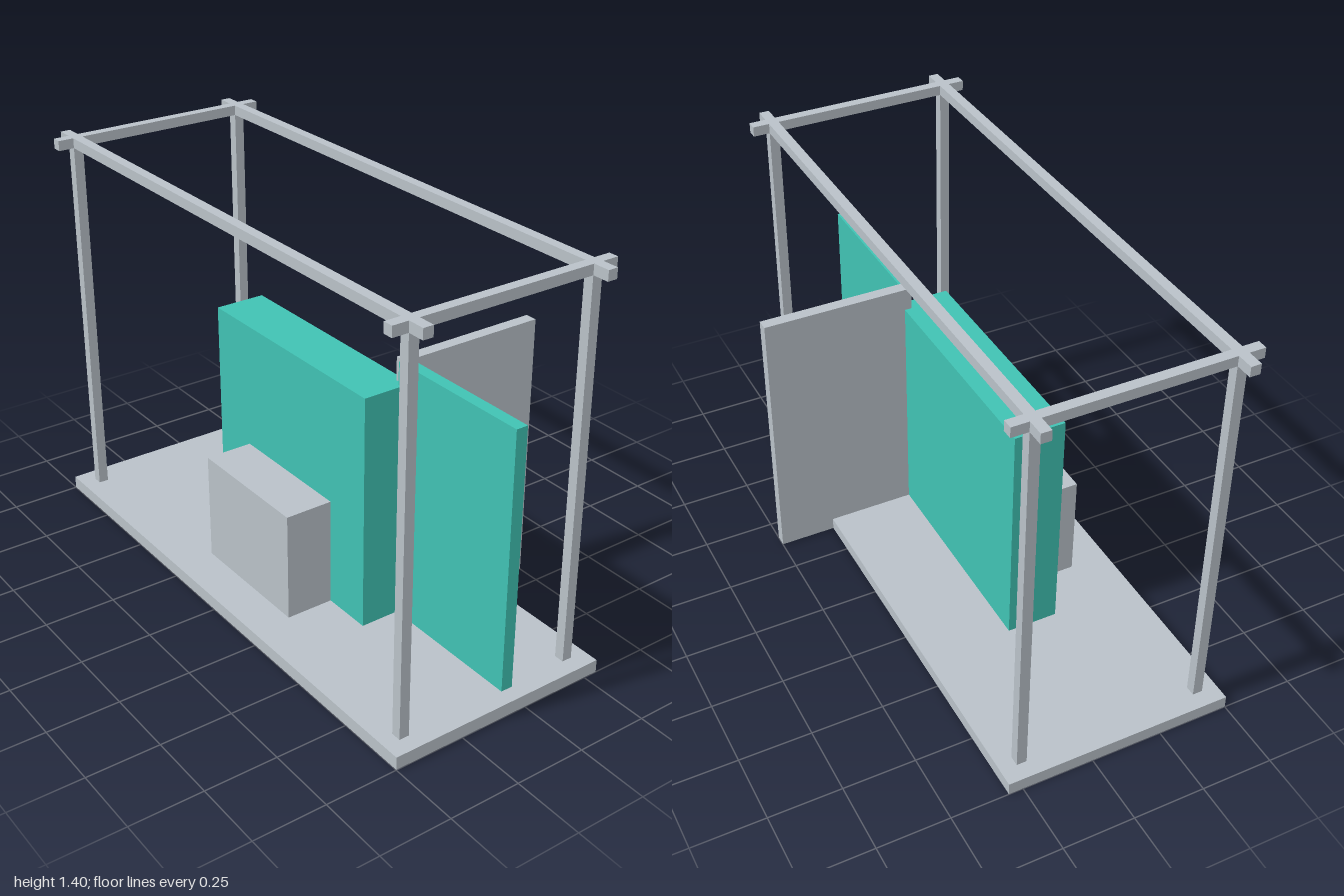
import * as THREE from 'three';

export function createModel() {
  const model = new THREE.Group();
  model.name = 'exhibitionStand';

  const grey = new THREE.MeshStandardMaterial({ color: 0xb9c1c8 });
  grey.name = 'light grey';
  const teal = new THREE.MeshStandardMaterial({ color: 0x40c2b3 });
  teal.name = 'teal';

  // Box given by its lower and upper limits on each axis
  function block(name, material, [x0, x1], [y0, y1], [z0, z1]) {
    const mesh = new THREE.Mesh(new THREE.BoxGeometry(x1 - x0, y1 - y0, z1 - z0), material);
    mesh.position.set((x0 + x1) / 2, (y0 + y1) / 2, (z0 + z1) / 2);
    mesh.name = name;
    model.add(mesh);
  }

  // Floor; the big wall passes through it to the underside
  block('floor', grey, [-1, 1], [0.001, 0.046], [-0.3, 0.5]);
  block('backWall', teal, [-0.42, 0.42], [0, 0.88], [0.01, 0.19]);
  block('counter', grey, [-0.24, 0.24], [0.02, 0.43], [0.18, 0.36]);

  // Side panel and the partition running back from it
  block('sidePanel', teal, [0.405, 0.945], [0.002, 0.96], [0.008, 0.05]);
  block('partition', grey, [0.375, 0.417], [0.002, 0.961], [-0.5, 0.035]);

  // Frame: four posts with crossing top rails
  const t = 0.0175, railX = 0.925, railZ = [0.427, -0.225];
  const top = 1.4, under = 1.365;
  for (const z of railZ) {
    const depth = [z - t, z + t];
    block('longRail', grey, [-1, 1], [under, top], depth);
    for (const x of [-railX, railX]) {
      block('post', grey, [x - t, x + t], [0.03, under], depth);
    }
  }
  for (const x of [-railX, railX]) {
    block('crossRail', grey, [x - t, x + t], [under, top], [-0.3, 0.5]);
  }

  return model;
}
